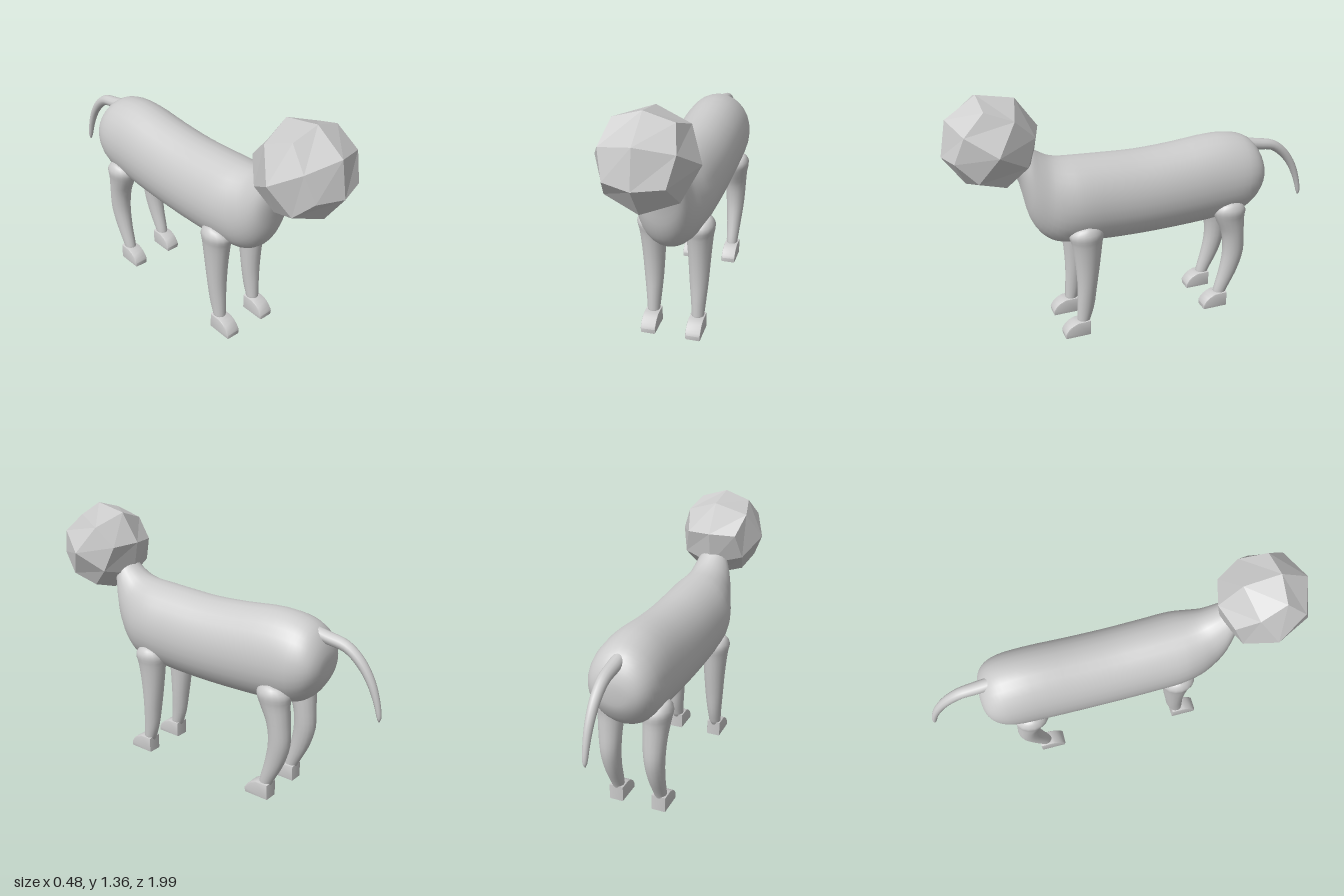
import * as THREE from 'three';
import { toCreasedNormals } from 'three/addons/utils/BufferGeometryUtils.js';

const smooth = new THREE.MeshStandardMaterial({ color: 0xcccccc });
const faceted = new THREE.MeshStandardMaterial({ color: 0xcccccc, flatShading: true });

// Skin oval rings along a limb. Each row: z1, y1, z2, y2 (opposite ends of the
// ring in the side plane), half width, optional centre x.
function loft(rows, sides, steps) {
  const a = new THREE.CatmullRomCurve3(rows.map(r => new THREE.Vector3(r[4], r[1], r[0])));
  const b = new THREE.CatmullRomCurve3(rows.map(r => new THREE.Vector3(r[5] || 0, r[3], r[2])));
  const pos = [], index = [];
  const ring = (t, scale) => {
    const p = a.getPoint(t), q = b.getPoint(t);
    for (let j = 0; j < sides; j++) {
      const c = Math.cos(j / sides * Math.PI * 2) * scale;
      const s = Math.sin(j / sides * Math.PI * 2) * scale;
      pos.push(q.x + s * p.x, (p.y + q.y) / 2 + c * (p.y - q.y) / 2, (p.z + q.z) / 2 + c * (p.z - q.z) / 2);
    }
  };
  const n = (rows.length - 1) * steps;
  ring(0, 0);
  for (let i = 0; i <= n; i++) ring(i / n, 1);
  ring(1, 0);
  for (let i = 0; i < n + 2; i++) {
    for (let j = 0; j < sides; j++) {
      const k = (j + 1) % sides;
      const p = i * sides + j, q = i * sides + k, r = p + sides, s = q + sides;
      if (i > 0) index.push(p, r, q);
      if (i < n + 1) index.push(q, r, s);
    }
  }
  const g = new THREE.BufferGeometry();
  g.setAttribute('position', new THREE.Float32BufferAttribute(pos, 3));
  g.setIndex(index);
  g.computeVertexNormals();
  return g;
}

function add(parent, name, geometry, material = smooth) {
  const mesh = new THREE.Mesh(geometry, material);
  mesh.name = name;
  parent.add(mesh);
  return mesh;
}

// Wedge-shaped paw with a rounded toe; heel at z = 0
function pawGeometry() {
  const bevel = 0.006;
  const s = new THREE.Shape();
  s.moveTo(0.006, 0.006);
  s.lineTo(0.134, 0.006);
  s.lineTo(0.136, 0.024);
  s.quadraticCurveTo(0.118, 0.066, 0.068, 0.08);
  s.lineTo(0.006, 0.08);
  s.closePath();
  const g = new THREE.ExtrudeGeometry(s, {
    depth: 0.068, bevelEnabled: true, bevelSize: bevel, bevelThickness: bevel, bevelSegments: 2, curveSegments: 6
  });
  g.translate(0, 0, -0.034);
  g.rotateY(-Math.PI / 2);
  return toCreasedNormals(g, 0.6);
}

export function createModel() {
  const model = new THREE.Group();
  model.name = 'animal';

  // Head: a once-divided cube pushed out to a sphere
  const headGeo = new THREE.BoxGeometry(1, 1, 1, 2, 2, 2);
  const p = headGeo.attributes.position, v = new THREE.Vector3();
  for (let i = 0; i < p.count; i++) {
    v.fromBufferAttribute(p, i).setLength(0.241);
    p.setXYZ(i, v.x, v.y, v.z);
  }
  const head = add(model, 'head', headGeo, faceted);
  head.position.set(0, 1.12, 0.759);
  head.rotation.x = -0.58;

  // Body and neck, from rump to head
  const body = add(model, 'body', loft([
    [-0.708, 0.79, -0.706, 0.74, 0.035],
    [-0.704, 0.83, -0.698, 0.69, 0.085],
    [-0.685, 0.885, -0.675, 0.64, 0.13],
    [-0.645, 0.94, -0.63, 0.58, 0.163],
    [-0.58, 0.975, -0.56, 0.538, 0.183],
    [-0.44, 0.995, -0.42, 0.515, 0.188],
    [-0.2, 0.975, -0.2, 0.503, 0.188],
    [0, 0.965, 0, 0.5, 0.188],
    [0.2, 0.972, 0.2, 0.505, 0.188],
    [0.35, 0.98, 0.34, 0.516, 0.186],
    [0.43, 0.988, 0.46, 0.53, 0.166],
    [0.48, 1.003, 0.54, 0.59, 0.142],
    [0.53, 1.032, 0.59, 0.685, 0.122],
    [0.57, 1.06, 0.615, 0.8, 0.102],
    [0.605, 1.075, 0.645, 0.915, 0.075],
    [0.66, 1.1, 0.7, 0.99, 0.05]
  ], 28, 3));
  body.position.x = -0.004;

  // Tail, drooping to a rounded tip
  add(model, 'tail', loft([
    [-0.61, 0.885, -0.61, 0.95, 0.034],
    [-0.7, 0.868, -0.69, 0.933, 0.034],
    [-0.785, 0.852, -0.8, 0.908, 0.03],
    [-0.855, 0.8, -0.885, 0.843, 0.026],
    [-0.91, 0.728, -0.946, 0.752, 0.022],
    [-0.952, 0.64, -0.982, 0.652, 0.017],
    [-0.976, 0.565, -0.996, 0.57, 0.011],
    [-0.984, 0.549, -0.99, 0.55, 0.004]
  ], 12, 4)).position.x = -0.006;

  // Legs, from shoulder or hip down to the ankle
  const frontLeg = loft([
    [0.345, 0.65, 0.315, 0.65, 0.02, 0.15],
    [0.39, 0.635, 0.27, 0.635, 0.05, 0.138],
    [0.42, 0.6, 0.242, 0.6, 0.075, 0.126],
    [0.408, 0.545, 0.247, 0.545, 0.069, 0.123],
    [0.392, 0.42, 0.262, 0.42, 0.059, 0.121],
    [0.385, 0.28, 0.282, 0.28, 0.05, 0.12],
    [0.39, 0.16, 0.3, 0.16, 0.039, 0.12],
    [0.394, 0.06, 0.332, 0.06, 0.031, 0.12]
  ], 16, 3);
  const hindLeg = loft([
    [-0.46, 0.65, -0.49, 0.65, 0.02, 0.15],
    [-0.415, 0.635, -0.54, 0.635, 0.05, 0.138],
    [-0.389, 0.6, -0.57, 0.6, 0.075, 0.126],
    [-0.405, 0.545, -0.568, 0.545, 0.069, 0.123],
    [-0.447, 0.45, -0.573, 0.45, 0.061, 0.121],
    [-0.459, 0.33, -0.577, 0.33, 0.053, 0.12],
    [-0.44, 0.21, -0.545, 0.21, 0.042, 0.12],
    [-0.412, 0.1, -0.49, 0.1, 0.033, 0.12],
    [-0.408, 0.06, -0.472, 0.06, 0.03, 0.12]
  ], 16, 3);
  const paw = pawGeometry();
  const pairs = [['front', frontLeg, 0.33], ['hind', hindLeg, -0.478]];
  for (const [name, geo, heel] of pairs) {
    for (const side of [1, -1]) {
      const leg = new THREE.Group();
      leg.name = name + (side > 0 ? 'LeftLeg' : 'RightLeg');
      leg.position.x = -0.004;
      // the leg is nearly symmetric about its own axis, so mirror by scale
      add(leg, 'limb', geo).scale.x = side;
      add(leg, 'paw', paw).position.set(side * 0.12, 0, heel);
      model.add(leg);
    }
  }
  return model;
}
